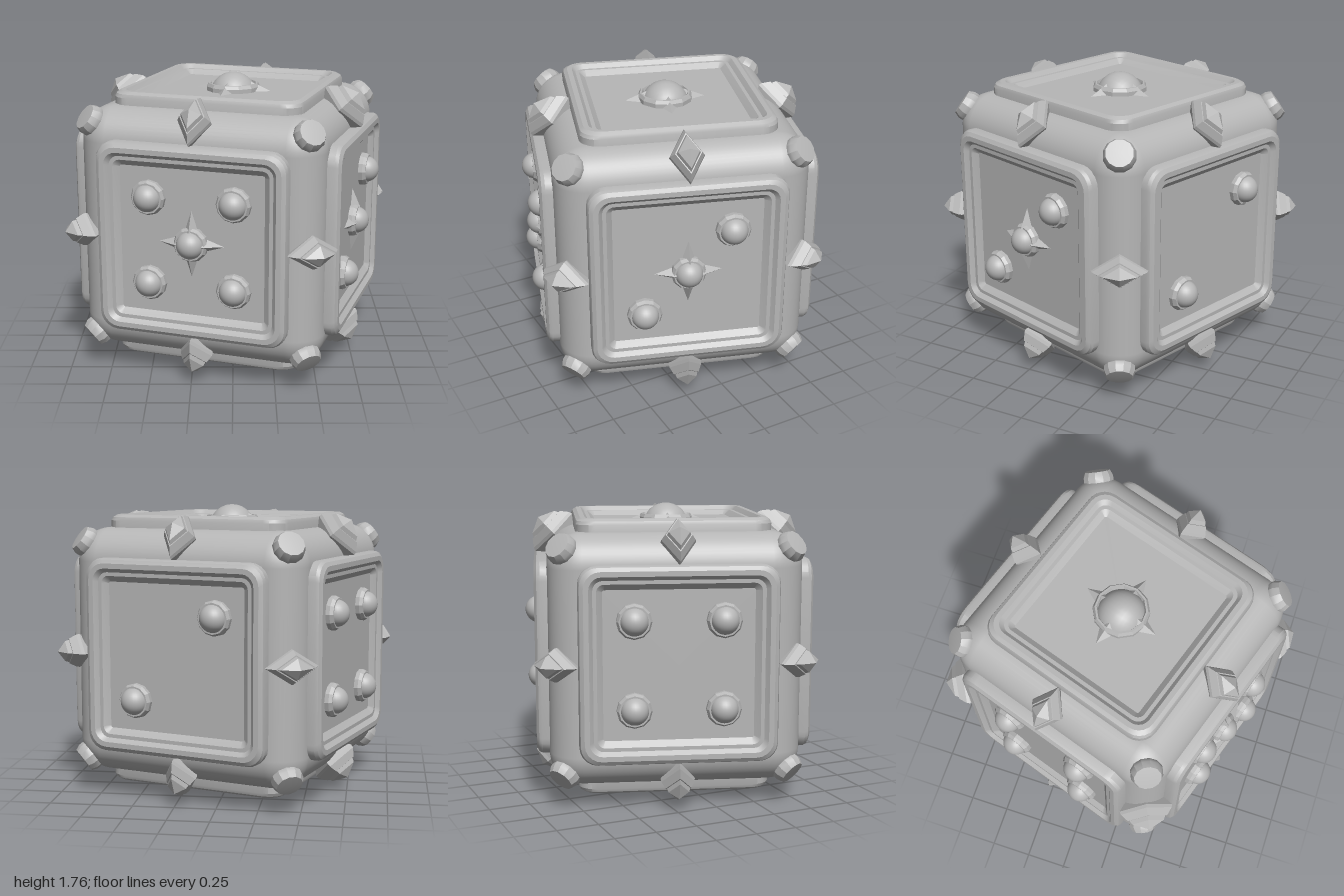
import * as THREE from 'three';
import { toCreasedNormals } from 'three/addons/utils/BufferGeometryUtils.js';
import { RoundedBoxGeometry } from 'three/addons/geometries/RoundedBoxGeometry.js';

const stone = new THREE.MeshStandardMaterial({ color: 0xb6b6b6 });
stone.name = 'grey stone';

function part(name, geometry, parent) {
  const mesh = new THREE.Mesh(geometry, stone);
  mesh.name = name;
  parent.add(mesh);
  return mesh;
}

function flat(geometry) {
  const g = geometry.toNonIndexed();
  g.computeVertexNormals();
  return g;
}

function lathe(profile, sides) {
  return new THREE.LatheGeometry(profile.map(([r, y]) => new THREE.Vector2(r, y)), sides);
}

// Rounded square outline, counter-clockwise
function roundedSquare(half, radius, depth, steps = 5) {
  const loop = [];
  for (let c = 0; c < 4; c++) {
    const mid = Math.PI / 4 + c * Math.PI / 2;
    const cx = Math.sign(Math.cos(mid)) * (half - radius);
    const cy = Math.sign(Math.sin(mid)) * (half - radius);
    for (let i = 0; i <= steps; i++) {
      const a = c * Math.PI / 2 + (i / steps) * Math.PI / 2;
      loop.push([cx + radius * Math.cos(a), cy + radius * Math.sin(a), depth]);
    }
  }
  return loop;
}

// Skin between successive outlines
function loft(loops) {
  const n = loops[0].length, index = [];
  for (let i = 0; i < loops.length - 1; i++) {
    for (let j = 0; j < n; j++) {
      const k = (j + 1) % n;
      const a = i * n + j, b = i * n + k, c = b + n, d = a + n;
      index.push(a, b, c, a, c, d);
    }
  }
  const g = new THREE.BufferGeometry();
  g.setAttribute('position', new THREE.Float32BufferAttribute(loops.flat(2), 3));
  g.setIndex(index);
  return toCreasedNormals(g, 0.45);
}

// Framed panel: half size, corner radius, distance from the centre
const panelGeometry = loft([
  [0.58, 0.11, 0.70], [0.58, 0.11, 0.79], [0.572, 0.108, 0.81], [0.55, 0.1, 0.825],
  [0.52, 0.075, 0.825], [0.497, 0.06, 0.8], [0.475, 0.045, 0.8],
  [0.44, 0.012, 0.77], [0, 0, 0.77],
].map(([h, r, d]) => roundedSquare(h, r, d)));

const FIELD = 0.77;

// Four-pointed star with raised ridges, lying on the panel
function starGeometry(tip, notch, height) {
  const g = new THREE.ConeGeometry(1, height, 8, 1, true);
  const p = g.attributes.position;
  for (let i = 0; i < p.count; i++) {
    const x = p.getX(i), z = p.getZ(i);
    if (Math.hypot(x, z) < 0.5) continue;
    const onAxis = Math.min(Math.abs(x), Math.abs(z)) < 0.1;
    const r = onAxis ? tip : notch;
    p.setXYZ(i, x * r, p.getY(i), z * r);
  }
  g.rotateX(Math.PI / 2);
  g.translate(0, 0, height / 2);
  return flat(g);
}

// Domed pip in a bevelled collar
function addPip(face, [u, v], radius, centre) {
  const pip = new THREE.Group();
  pip.name = 'pip';
  pip.position.set(u, v, 0);
  const dome = new THREE.SphereGeometry(radius, 28, 18);
  part('pipDome', dome, pip).position.z = centre;
  const collar = lathe([
    [radius + 0.022, -0.01], [radius + 0.022, 0.025], [radius + 0.01, 0.045],
    [radius - 0.002, 0.045], [radius - 0.01, 0.02],
  ], 12);
  collar.rotateX(Math.PI / 2);
  part('pipCollar', flat(collar), pip).position.z = FIELD;
  face.add(pip);
}

function addFace(body, name, rx, ry, pips, star, big) {
  const face = new THREE.Group();
  face.name = name;
  face.rotation.set(rx, ry, 0);
  part('framedPanel', panelGeometry, face);
  for (const spot of pips) {
    if (big) addPip(face, spot, 0.145, 0.735);
    else addPip(face, spot, 0.082, 0.798);
  }
  if (star) {
    const geometry = big ? starGeometry(0.245, 0.11, 0.1) : starGeometry(0.2, 0.07, 0.09);
    part('star', geometry, face).position.z = FIELD + 0.002;
  }
  body.add(face);
}

export function createModel() {
  const model = new THREE.Group();
  model.name = 'ornateDie';
  const die = new THREE.Group();
  die.name = 'die';
  die.position.y = 0.88;
  die.rotation.y = -Math.PI / 10;
  model.add(die);

  part('roundedCube', new RoundedBoxGeometry(1.5, 1.5, 1.5, 6, 0.2), die);

  // Six numbered faces
  const p = 0.26, q = Math.PI / 2;
  const corners = [[-p, -p], [-p, p], [p, -p], [p, p]];
  const diagonal = [[p, p], [-p, -p]];
  const six = [-p, p].flatMap((u) => [-0.24, 0, 0.24].map((v) => [u, v]));
  addFace(die, 'frontFace', 0, 0, [...corners, [0, 0]], true);
  addFace(die, 'leftFace', 0, q, [...diagonal, [0, 0]], true);
  addFace(die, 'rightFace', 0, -q, corners);
  addFace(die, 'backFace', 0, Math.PI, diagonal);
  addFace(die, 'topFace', -q, 0, [[0, 0]], true, true);
  addFace(die, 'bottomFace', q, 0, six);

  // Studs on the eight corners
  const studGeometry = toCreasedNormals(lathe([
    [0.07, 1.08], [0.094, 1.135], [0.094, 1.16], [0.079, 1.195], [0, 1.2],
  ], 12), 0.4);
  const up = new THREE.Vector3(0, 1, 0);
  const signs = [-1, 1];
  for (const x of signs) for (const y of signs) for (const z of signs) {
    const out = new THREE.Vector3(x, y, z).normalize();
    part('cornerStud', studGeometry, die).quaternion.setFromUnitVectors(up, out);
  }

  // Stepped gems on the twelve edges, long across the edge
  const gem = lathe([
    [0.55, 0.86], [0.7, 0.93], [1, 0.99], [0.97, 1.01], [0.75, 1.055],
    [0.68, 1.055], [0.6, 1.08], [0, 1.125],
  ], 4);
  gem.scale(0.162, 1, 0.102);
  const gemGeometry = flat(gem);
  for (let axis = 0; axis < 3; axis++) for (const s of signs) for (const t of signs) {
    const along = new THREE.Vector3().setComponent(axis, 1);
    const out = new THREE.Vector3()
      .setComponent((axis + 1) % 3, s).setComponent((axis + 2) % 3, t).normalize();
    const across = new THREE.Vector3().crossVectors(out, along);
    const basis = new THREE.Matrix4().makeBasis(across, out, along);
    part('edgeGem', gemGeometry, die).quaternion.setFromRotationMatrix(basis);
  }
  return model;
}
